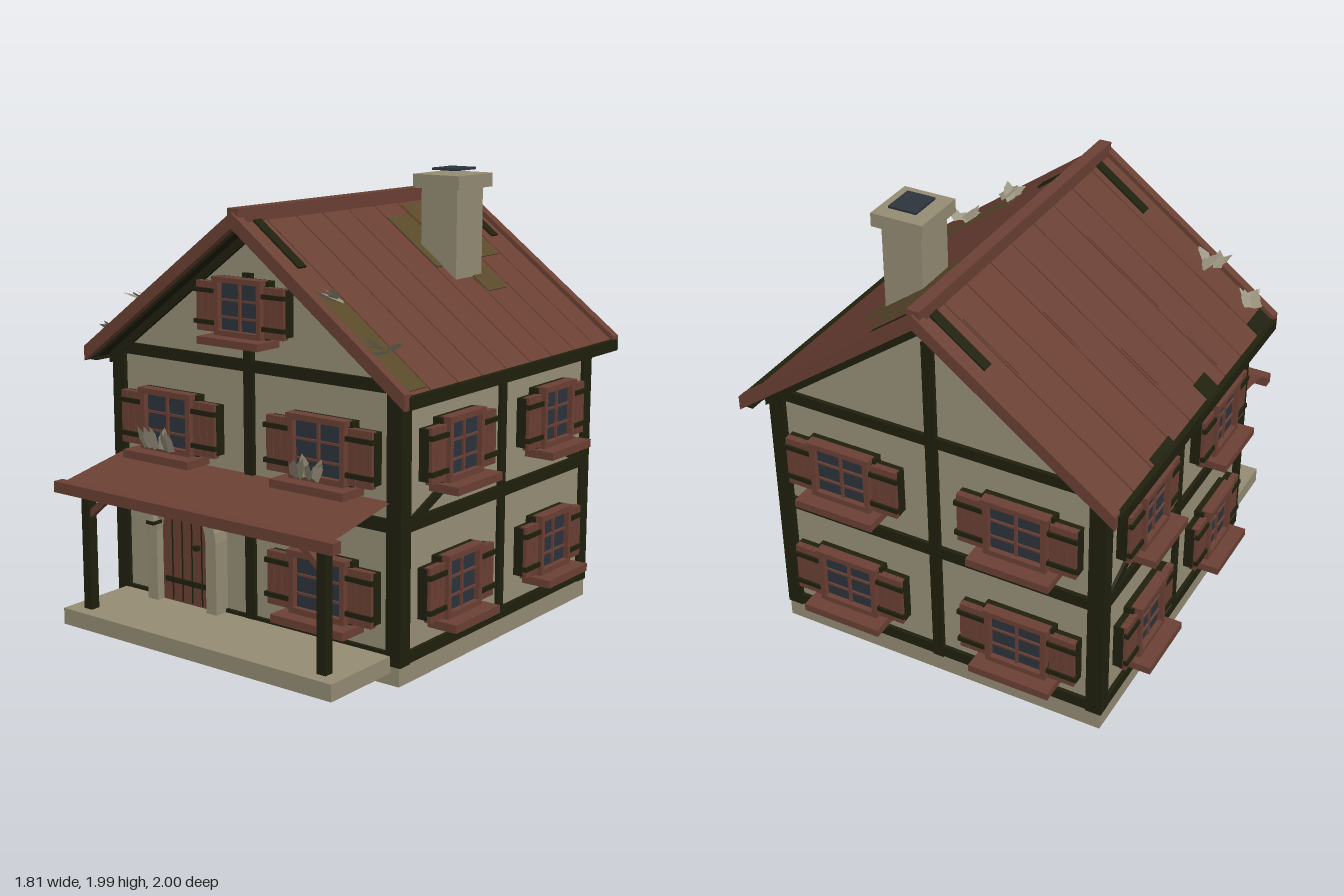
import * as THREE from 'three';

export function createModel() {
  const root = new THREE.Group();
  root.name = 'timberHouse';
  const M = (name, color, side = THREE.FrontSide) => {
    const m = new THREE.MeshStandardMaterial({ color, side });
    m.name = name;
    return m;
  };
  const plaster = M('plaster', 0x989078), stone = M('stone', 0x958c74);
  const red = M('redWood', 0x6b4034, THREE.DoubleSide), dark = M('darkTimber', 0x20200e);
  const glass = M('glass', 0x2d343d), moss = M('moss', 0x5a4a2b);
  const straw = M('straw', 0x9a927e, THREE.DoubleSide);

  const add = (parent, name, geo, mat) => {
    const m = new THREE.Mesh(geo, mat);
    m.name = name;
    parent.add(m);
    return m;
  };
  const group = (name, parent = root) => {
    const g = new THREE.Group();
    g.name = name;
    parent.add(g);
    return g;
  };
  // Box given by its limits on each axis
  const box = (p, name, mat, x0, x1, y0, y1, z0, z1) => {
    const m = add(p, name, new THREE.BoxGeometry(x1 - x0, y1 - y0, z1 - z0), mat);
    m.position.set((x0 + x1) / 2, (y0 + y1) / 2, (z0 + z1) / 2);
    return m;
  };
  const extrude = (p, name, mat, pts, z0, z1) => {
    const shape = new THREE.Shape(pts.map(([x, y]) => new THREE.Vector2(x, y)));
    const m = add(p, name, new THREE.ExtrudeGeometry(shape, { depth: z1 - z0, bevelEnabled: false }), mat);
    m.position.z = z0;
    return m;
  };
  const slope = 0.74, angle = Math.atan(slope);
  // Pair of sloping boards that meet at the ridge
  const chevron = (name, mat, top, h, v, z0, z1) => extrude(root, name, mat, [
    [0, top], [-h, top - slope * h], [-h, top - slope * h - v],
    [0, top - v], [h, top - slope * h - v], [h, top - slope * h]], z0, z1);

  // Body and footing
  box(root, 'footing', stone, -0.775, 0.775, 0, 0.085, -0.868, 0.6);
  extrude(root, 'walls', plaster, [[-0.765, 0.08], [0.765, 0.08], [0.765, 1.205], [0, 1.772], [-0.765, 1.205]], -0.852, 0.585);

  // Timber frame
  for (const x of [-0.745, 0.745]) for (const z of [-0.838, 0.568])
    box(root, 'cornerPost', dark, x - 0.036, x + 0.036, 0.08, 1.2, z - 0.034, z + 0.034);
  box(root, 'frontPost', dark, -0.025, 0.025, 0.12, 1.6, 0.56, 0.602);
  box(root, 'backPost', dark, -0.025, 0.025, 0.08, 1.68, -0.872, -0.84);
  for (const [y0, y1] of [[0.085, 0.137], [0.63, 0.685], [1.19, 1.24]]) {
    const h = y1 > 1 ? 0.7 : 0.76;
    box(root, 'frontBeam', dark, -h, h, y0, y1, 0.57, 0.6);
    box(root, 'backBeam', dark, -h, h, y0, y1, -0.87, -0.84);
  }
  for (const s of [-1, 1]) {
    const side = group('sideFrame');
    side.rotation.y = s * Math.PI / 2;
    const u = z => -s * z; // world z to the side wall's own x
    const bar = (name, za, zb, y0, y1) =>
      box(side, name, dark, Math.min(u(za), u(zb)), Math.max(u(za), u(zb)), y0, y1, 0.755, 0.782);
    bar('sidePost', -0.158, -0.115, 0.085, 1.2);
    for (const [y0, y1] of [[0.085, 0.135], [0.63, 0.683], [1.15, 1.2]]) bar('sideBeam', -0.86, 0.59, y0, y1);
    for (const [z, d] of [[0.36, -1], [-0.65, 1]]) {
      const b = box(side, 'sideBrace', dark, -0.16, 0.16, -0.02, 0.02, -0.01, 0.01);
      b.position.set(u(z), 0.735, 0.768);
      b.rotation.z = -s * d * 0.42;
    }
    box(root, 'eaveBeam', dark, s > 0 ? 0.815 : -0.87, s > 0 ? 0.87 : -0.815, 1.155, 1.205, -0.94, 0.665);
  }
  chevron('frontRafters', dark, 1.79, 0.8, 0.06, 0.575, 0.602);
  chevron('backRafters', dark, 1.79, 0.8, 0.06, -0.872, -0.84);

  // Roof: dark boarding below, separate planks above
  const seams = [-0.925, -0.77, -0.6, -0.41, -0.235, -0.045, 0.135, 0.31, 0.5, 0.66];
  for (const s of [1, -1]) {
    const turn = group(s > 0 ? 'roofLeft' : 'roofRight');
    turn.position.y = 1.83;
    turn.rotation.y = s > 0 ? 0 : Math.PI;
    const r = group('slope', turn);
    r.rotation.z = -angle;
    const c = Math.cos(angle);
    // Piece on the slope: plan limits in |x| and z
    const piece = (name, mat, x0, x1, y0, y1, z0, z1) =>
      box(r, name, mat, x0 / c, x1 / c, y0, y1, s > 0 ? z0 : -z1, s > 0 ? z1 : -z0);
    piece('boarding', dark, 0, 0.85, -0.045, -0.018, -0.93, 0.66);
    for (let i = 0; i < seams.length - 1; i++)
      piece('roofPlank', red, 0, 0.86, -0.02, 0, seams[i] + 0.003, seams[i + 1] - 0.003);
    piece('ridgeStrap', dark, 0.02, 0.26, 0, 0.008, 0.54, 0.59);
    piece('ridgeStrap', dark, 0.02, 0.26, 0, 0.008, -0.88, -0.83);
    if (s > 0) {
      const patches = [[0.09, 0.35, -0.75, -0.61], [0.04, 0.51, -0.57, -0.42], [0.09, 0.36, -0.4, -0.24], [0.4, 0.83, 0.51, 0.65]];
      for (const [a, b, z0, z1] of patches) piece('mossPatch', moss, a, b, 0, 0.004, z0, z1);
    } else {
      const boards = [[0.24, 0.34, -0.76, -0.61], [0.1, 0.24, -0.76, -0.61], [0.26, 0.42, -0.4, -0.25], [0.52, 0.6, -0.22, -0.06],
        [0.6, 0.69, -0.22, -0.06], [0.26, 0.52, 0.145, 0.3], [0.18, 0.26, 0.145, 0.3], [0.66, 0.8, 0.145, 0.3]];
      for (const [a, b, z0, z1] of boards) piece('patchBoard', red, a, b, 0, 0.005, z0, z1);
      for (const [a, z0, z1] of [[0.82, -0.58, -0.4], [0.78, -0.06, 0.05], [0.79, 0.5, 0.65]])
        piece('missingBoard', dark, a, 0.861, 0, 0.004, z0, z1);
    }
  }
  chevron('frontBargeboard', red, 1.855, 0.86, 0.065, 0.655, 0.697);
  chevron('backBargeboard', red, 1.855, 0.86, 0.065, -0.967, -0.922);
  box(root, 'ridgeBeam', red, -0.028, 0.028, 1.81, 1.87, -0.955, 0.685);

  // Chimney
  box(root, 'chimneyStack', stone, 0.245, 0.43, 1.5, 1.91, -0.487, -0.285);
  box(root, 'chimneyCap', stone, 0.22, 0.46, 1.9, 1.96, -0.517, -0.253);
  box(root, 'chimneyCover', glass, 0.273, 0.403, 1.975, 1.985, -0.472, -0.322);

  // Shuttered window; its origin is the bottom of the sill on the wall
  const addWindow = (x, y, z, turn, sx, sy) => {
    const w = group('window');
    w.position.set(x, y, z);
    w.rotation.y = turn;
    w.scale.set(sx, sy, 1);
    box(w, 'sill', red, -0.187, 0.187, 0, 0.035, 0, 0.14);
    box(w, 'surround', dark, -0.163, 0.163, 0.03, 0.3, 0, 0.045);
    box(w, 'pane', glass, -0.122, 0.122, 0.05, 0.285, 0.04, 0.05);
    for (const s of [-1, 1]) {
      box(w, 'frameSide', red, s * 0.13 - 0.012, s * 0.13 + 0.012, 0.035, 0.295, 0.03, 0.075);
      box(w, 'shutterBack', dark, s * 0.21 - 0.062, s * 0.21 + 0.062, 0.055, 0.27, 0, 0.045);
      for (let i = -1; i <= 1; i++) {
        const cx = s * 0.209 + i * 0.04;
        box(w, 'shutterBoard', red, cx - 0.0185, cx + 0.0185, 0.045, 0.276, 0.03, 0.06);
      }
      for (const cy of [0.088, 0.235])
        box(w, 'shutterBar', dark, s * 0.21 - 0.067, s * 0.21 + 0.067, cy - 0.01, cy + 0.01, 0.05, 0.07);
    }
    box(w, 'frameTop', red, -0.15, 0.15, 0.28, 0.305, 0.03, 0.08);
    box(w, 'frameBottom', red, -0.14, 0.14, 0.035, 0.06, 0.03, 0.075);
    box(w, 'mullion', red, -0.006, 0.006, 0.05, 0.285, 0.045, 0.06);
    for (const cy of [0.12, 0.2])
      box(w, 'glazingBar', red, -0.122, 0.122, cy - 0.005, cy + 0.005, 0.045, 0.058);
  };
  for (const y of [0.193, 0.765]) {
    for (const x of [-0.41, 0.41]) {
      if (y > 0.5 || x > 0) addWindow(x, y, 0.597, 0, 1, 1);
      addWindow(x, y, -0.86, Math.PI, 1, 1);
    }
    for (const z of [-0.5, 0.226]) for (const s of [-1, 1])
      addWindow(s * 0.765, y, z, s * Math.PI / 2, 0.87, 1);
  }
  addWindow(0, 1.31, 0.592, 0, 0.87, 0.9);

  // Door with round stone arch
  const arched = (r, base) => {
    const pts = [[-0.34 + r, base], [-0.34 + r, 0.44]];
    for (let i = 1; i <= 14; i++)
      pts.push([-0.34 + r * Math.cos(i * Math.PI / 14), 0.44 + r * Math.sin(i * Math.PI / 14)]);
    pts.push([-0.34 - r, base]);
    return pts;
  };
  extrude(root, 'doorArch', stone, [...arched(0.2, 0.12), ...arched(0.142, 0.12).reverse()], 0.58, 0.66);
  extrude(root, 'doorLeaf', red, arched(0.142, 0.12), 0.58, 0.62);
  for (const x of [-0.425, -0.368, -0.312, -0.255])
    box(root, 'doorGap', dark, x - 0.003, x + 0.003, 0.13, 0.53, 0.615, 0.623);
  for (const y of [0.22, 0.52]) box(root, 'doorStrap', dark, -0.465, -0.215, y - 0.011, y + 0.011, 0.615, 0.63);
  box(root, 'doorHandle', dark, -0.285, -0.262, 0.38, 0.4, 0.62, 0.645);

  // Wall lantern
  box(root, 'lanternGlass', straw, -0.507, -0.472, 0.485, 0.555, 0.645, 0.69);
  box(root, 'lanternTop', dark, -0.515, -0.464, 0.55, 0.572, 0.61, 0.7);
  box(root, 'lanternBase', dark, -0.512, -0.467, 0.472, 0.487, 0.64, 0.695);

  // Porch
  box(root, 'porchSlab', stone, -0.732, 0.732, 0.05, 0.122, 0.56, 0.985);
  for (const s of [-1, 1]) {
    box(root, 'porchPost', dark, s * 0.64 - 0.022, s * 0.64 + 0.022, 0.12, 0.68, 0.885, 0.93);
    const brace = box(root, 'porchBrace', red, -0.085, 0.085, -0.014, 0.014, -0.014, 0.014);
    brace.position.set(s * 0.56, 0.6, 0.907);
    brace.rotation.z = -s * 0.7;
  }
  box(root, 'porchFascia', red, -0.753, 0.753, 0.64, 0.688, 0.95, 1);
  const awning = add(root, 'porchRoof', new THREE.PlaneGeometry(1.45, Math.hypot(0.37, 0.07)), red);
  awning.position.set(0, 0.72, 0.775);
  awning.rotation.x = -Math.atan2(0.37, 0.07);

  // Tufts of pale leaves on the sills and roof
  let seed = 7;
  const rnd = () => (seed = (seed * 16807) % 2147483647) / 2147483647;
  const leaf = new THREE.ShapeGeometry(new THREE.Shape(
    [[-0.02, 0], [0.02, 0], [0.026, 0.06], [0.005, 0.1], [-0.024, 0.05]].map(([x, y]) => new THREE.Vector2(x, y))));
  const tuft = (x, y, z, spread, tilt, n) => {
    const g = group('leafTuft');
    g.position.set(x, y, z);
    for (let i = 0; i < n; i++) {
      const l = add(g, 'leaf', leaf, straw);
      l.position.set((i / (n - 1) - 0.5) * spread, 0, (rnd() - 0.5) * 0.04);
      l.rotation.set(tilt + (rnd() - 0.5) * 0.5, (rnd() - 0.5) * 0.8, (rnd() - 0.5) * 2);
    }
  };
  tuft(-0.43, 0.82, 0.69, 0.18, 0.2, 7);
  tuft(0.38, 0.82, 0.69, 0.11, 0.2, 6);
  for (const x of [-0.76, -0.56, 0.44, 0.67])
    tuft(x, 1.85 - slope * Math.abs(x), 0.58, 0.09, 1.15, 6);

  return root;
}
